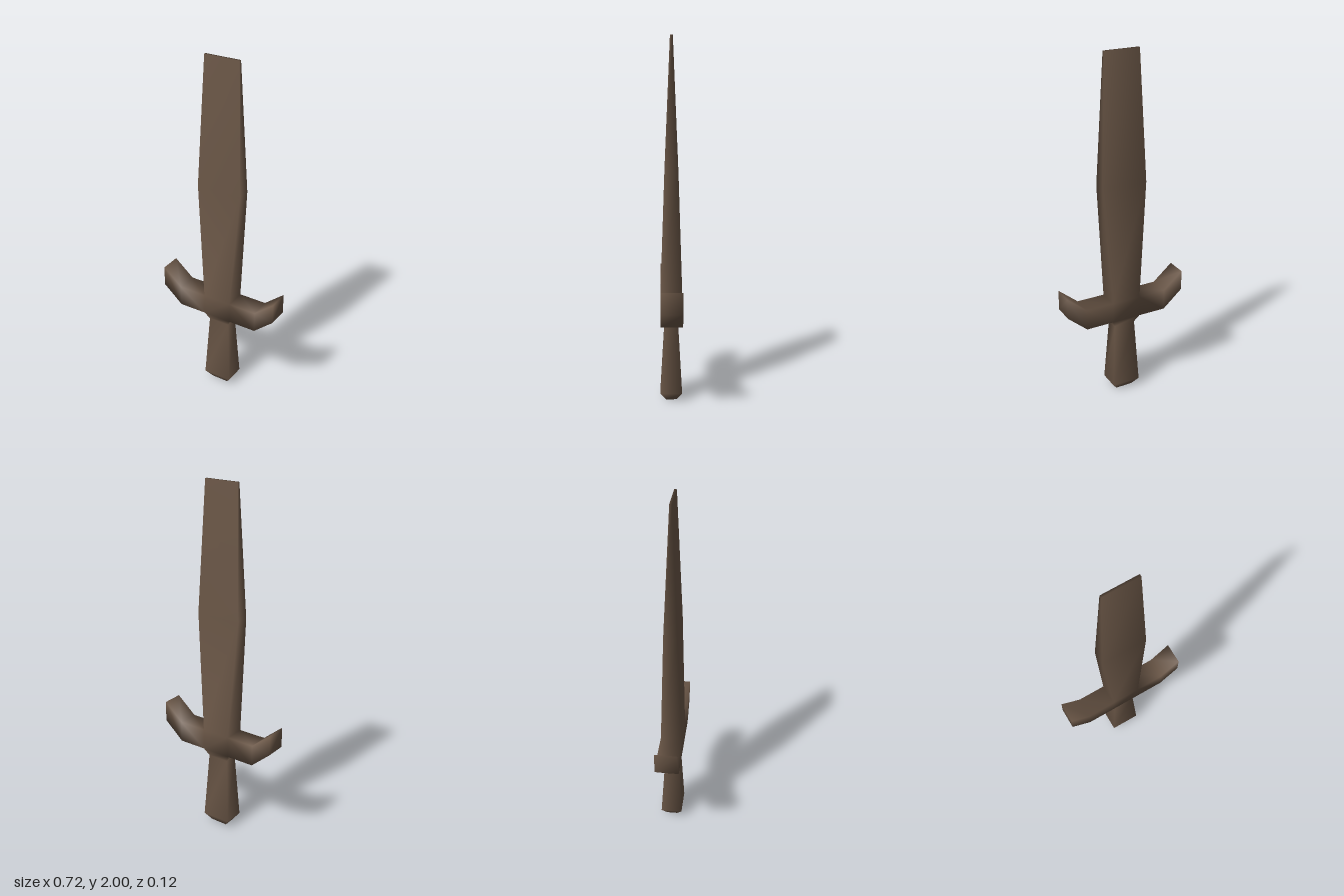
import * as THREE from 'three';

export function createModel() {
  const wood = new THREE.MeshStandardMaterial({ color: 0x6b5747 });
  wood.name = 'dark brown wood';

  const points = [];
  const parts = { grip: [], crossguard: [], blade: [] };

  // Adds four corners and returns their indices
  const ring = (corners) => corners.map((c) => points.push(c) - 1);
  const quad = (list, a, b, c, d) => list.push(a, b, c, a, c, d);
  const wall = (list, a, b, i) => {
    const j = (i + 1) % 4;
    quad(list, a[i], a[j], b[j], b[i]);
  };

  // Rectangular cross-sections going up: y, half width, half depth
  const column = [
    [0, 0.05, 0.03],
    [0.045, 0.084, 0.06],
    [0.43, 0.062, 0.038],
    [0.475, 0.084, 0.06],
    [0.595, 0.084, 0.06],
    [1.28, 0.132, 0.037],
    [2, 0.102, 0.007],
  ].map(([y, w, d]) => ring([[-w, y, d], [w, y, d], [w, y, -d], [-w, y, -d]]));

  const GUARD = 3;
  for (let k = 0; k < column.length - 1; k++) {
    const list = k < GUARD ? parts.grip : k === GUARD ? parts.crossguard : parts.blade;
    for (let i = 0; i < 4; i++) {
      // the guard section is open at its sides, where the arms join
      if (k !== GUARD || i % 2 === 0) wall(list, column[k], column[k + 1], i);
    }
  }

  // Pommel end and blunt blade tip
  quad(parts.grip, ...[...column[0]].reverse());
  quad(parts.blade, ...column[column.length - 1]);

  // Upturned guard arms, mirrored left and right
  const lower = column[GUARD], upper = column[GUARD + 1];
  for (const s of [1, -1]) {
    const i = s > 0 ? 1 : 3, j = (i + 1) % 4;
    let previous = [lower[i], lower[j], upper[j], upper[i]];
    for (const [x, y0, y1] of [[0.247, 0.475, 0.595], [0.362, 0.575, 0.692]]) {
      const z = 0.06 * s;
      const next = ring([[s * x, y0, z], [s * x, y0, -z], [s * x, y1, -z], [s * x, y1, z]]);
      for (let n = 0; n < 4; n++) wall(parts.crossguard, previous, next, n);
      previous = next;
    }
    quad(parts.crossguard, ...previous);
  }

  // Smooth normals shared by all the parts, so the shading flows across joints
  const whole = new THREE.BufferGeometry();
  whole.setAttribute('position', new THREE.Float32BufferAttribute(points.flat(), 3));
  whole.setIndex(Object.values(parts).flat());
  whole.computeVertexNormals();

  const sword = new THREE.Group();
  sword.name = 'shortSword';
  for (const [name, index] of Object.entries(parts)) {
    const geometry = whole.clone().setIndex(index).toNonIndexed();
    const mesh = new THREE.Mesh(geometry, wood);
    mesh.name = name;
    sword.add(mesh);
  }
  return sword;
}
